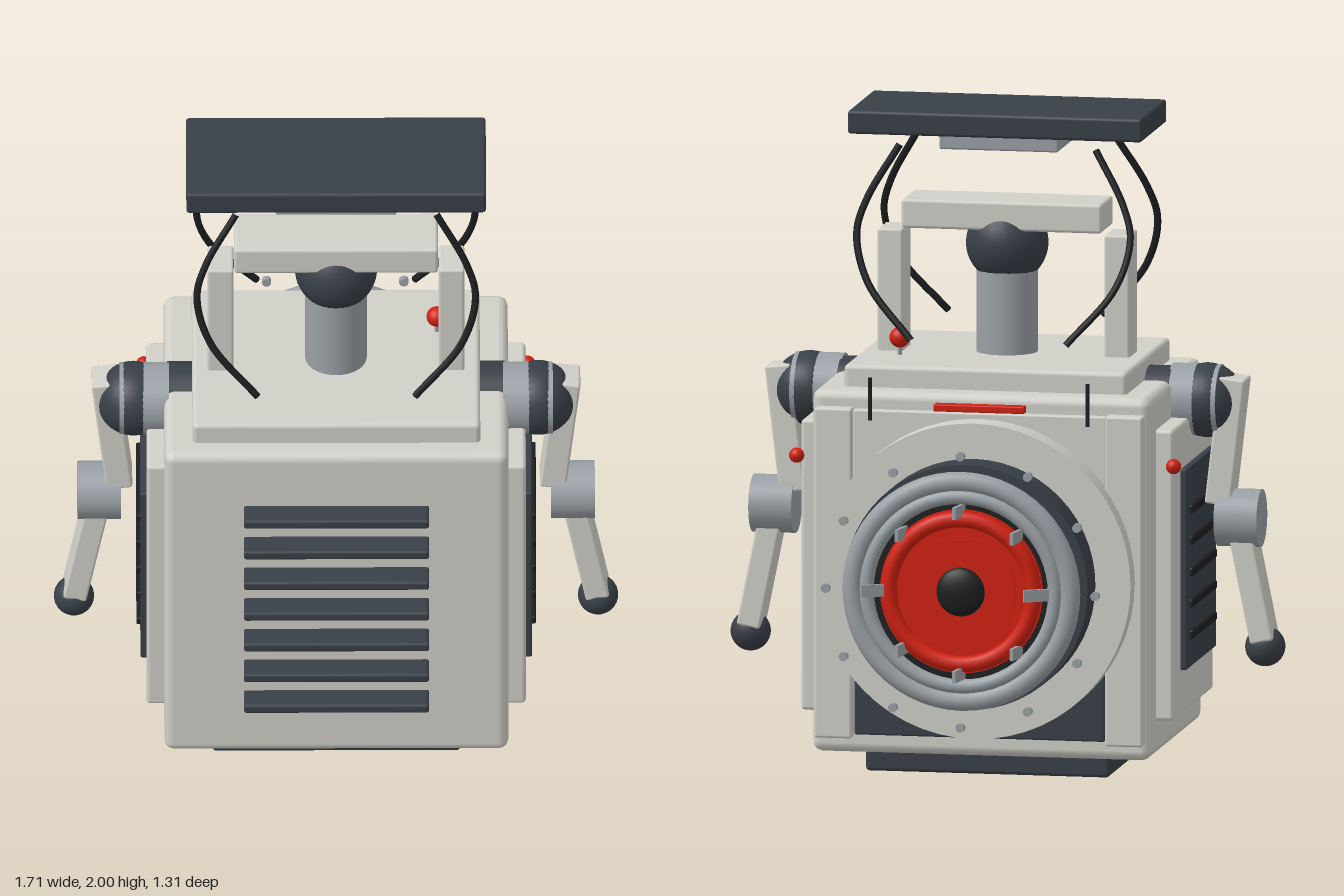
import * as THREE from 'three';
import { RoundedBoxGeometry } from 'three/addons/geometries/RoundedBoxGeometry.js';

const mat = (name, color) => {
  const m = new THREE.MeshStandardMaterial({ color });
  m.name = name;
  return m;
};

export function createModel() {
  const shell = mat('shell light grey', 0xd0cfc8);
  const dark = mat('dark slate', 0x383f47);
  const steel = mat('steel grey', 0x99a0a5);
  const black = mat('black rubber', 0x1c1e20);
  const red = mat('signal red', 0xd02010);

  const root = new THREE.Group();
  root.name = 'boxRobot';

  const add = (name, geo, material, x, y, z, parent = root) => {
    const m = new THREE.Mesh(geo, material);
    m.name = name;
    m.position.set(x, y, z);
    parent.add(m);
    return m;
  };
  // Rounded box given by its min and max on each axis
  const box = (name, material, [x0, x1], [y0, y1], [z0, z1], r = 0.008, parent = root) =>
    add(name, new RoundedBoxGeometry(x1 - x0, y1 - y0, z1 - z0, 2, r), material,
      (x0 + x1) / 2, (y0 + y1) / 2, (z0 + z1) / 2, parent);
  const ball = (name, material, r, x, y, z) =>
    add(name, new THREE.SphereGeometry(r, 28, 20), material, x, y, z);
  const cylX = (name, material, r, x0, x1, y, z) => {
    const m = add(name, new THREE.CylinderGeometry(r, r, Math.abs(x1 - x0), 32), material, (x0 + x1) / 2, y, z);
    m.rotation.z = Math.PI / 2;
    return m;
  };

  // Body, foot plate and top plate
  box('body', shell, [-0.52, 0.52], [0.07, 1.18], [-0.262, 0.575], 0.03);
  box('footPlate', dark, [-0.375, 0.375], [0, 0.09], [-0.16, 0.477], 0.012);
  box('topPlate', shell, [-0.435, 0.435], [1.16, 1.247], [-0.192, 0.508], 0.015);

  // Front louvers
  for (let i = 0; i < 7; i++) {
    const y = 0.288 + i * 0.115;
    box('frontLouver', dark, [-0.28, 0.28], [y - 0.015, y + 0.015], [0.55, 0.655], 0.008);
  }

  // Neck, head joint, carrying handle
  add('neck', new THREE.CylinderGeometry(0.093, 0.093, 0.34, 32), steel, 0, 1.41, 0.16);
  ball('neckJoint', dark, 0.125, 0, 1.58, 0.16);
  box('handleBar', shell, [-0.308, 0.308], [1.628, 1.717], [0.063, 0.256], 0.01);

  // Canopy and its underside block
  box('canopy', dark, [-0.453, 0.453], [1.928, 2], [-0.042, 0.358], 0.01);
  box('canopyBlock', steel, [-0.183, 0.183], [1.88, 1.935], [0.02, 0.3], 0.006);

  // Beacon on a stem
  add('beaconStem', new THREE.CylinderGeometry(0.007, 0.007, 0.06, 10), steel, 0.305, 1.265, 0.026);
  ball('beacon', red, 0.031, 0.305, 1.3, 0.026);

  for (const s of [1, -1]) {
    const span = (a, b) => (s > 0 ? [a, b] : [-b, -a]);
    box('handlePost', shell, span(0.31, 0.388), [1.23, 1.62], [0.095, 0.228], 0.008);

    // Side panel with slatted vent
    box('sidePanel', shell, span(0.5, 0.573), [0.18, 1.07], [-0.162, 0.48], 0.012);
    box('sideVent', dark, span(0.55, 0.592), [0.318, 0.933], [-0.042, 0.43], 0.006);
    for (let i = 0; i < 5; i++) {
      const y = 0.42 + i * 0.096;
      box('ventSlat', black, span(0.58, 0.604), [y - 0.013, y + 0.013], [0.005, 0.382], 0.006);
    }
    ball('sideLamp', red, 0.023, s * 0.58, 0.965, -0.192);

    // Shoulder
    cylX('shoulderAxle', dark, 0.1, s * 0.42, s * 0.51, 1.115, 0.168);
    cylX('shoulder', steel, 0.109, s * 0.505, s * 0.655, 1.112, 0.184);
    ball('shoulderBall', dark, 0.113, s * 0.612, 1.112, 0.184);

    // Arm
    const upper = add('upperArm', new RoundedBoxGeometry(0.08, 0.39, 0.112, 2, 0.008), shell, s * 0.677, 0.995, 0.17);
    upper.rotation.z = -s * 0.115;
    cylX('elbow', steel, 0.088, s * 0.65, s * 0.782, 0.757, 0.168);
    const lower = add('lowerArm', new RoundedBoxGeometry(0.072, 0.39, 0.112, 2, 0.008), shell, s * 0.752, 0.575, 0.17);
    lower.rotation.z = s * 0.2;
    ball('hand', dark, 0.061, s * 0.792, 0.365, 0.172);

    // Canopy cables
    for (const [zTop, zEnd] of [[0.31, 0.457], [0.01, -0.14]]) {
      const pts = [[0.302, 1.893], [0.395, 1.73], [0.421, 1.63], [0.38, 1.485], [0.238, 1.317]].map(([x, y]) =>
        new THREE.Vector3(s * x, y, THREE.MathUtils.lerp(zTop, zEnd, (1.893 - y) / 0.576)));
      add('cable', new THREE.TubeGeometry(new THREE.CatmullRomCurve3(pts), 40, 0.011, 8), black, 0, 0, 0);
    }

    // Rear rails and aerials
    box('rearRail', shell, span(0.39, 0.505), [0.12, 1.13], [-0.306, -0.24], 0.008);
    add('rearAerial', new THREE.CylinderGeometry(0.006, 0.006, 0.13, 8), black, s * 0.335, 1.16, -0.292);
  }

  // Rear panels and light strip
  box('rearPanelUpper', shell, [-0.39, 0.39], [0.6, 1.125], [-0.285, -0.25], 0.006);
  box('rearPanelLower', dark, [-0.385, 0.385], [0.13, 0.6], [-0.285, -0.25], 0.006);
  box('rearLightStrip', red, [-0.14, 0.14], [1.128, 1.15], [-0.296, -0.255], 0.004);

  // Rear thruster, built facing +z and turned to the back
  const thruster = new THREE.Group();
  thruster.name = 'thruster';
  thruster.position.set(0, 0.625, 0);
  thruster.rotation.y = Math.PI;
  root.add(thruster);
  const disc = (name, material, r, z0, z1) => {
    const m = add(name, new THREE.CylinderGeometry(r, r, z1 - z0, 56), material, 0, 0, (z0 + z1) / 2, thruster);
    m.rotation.x = Math.PI / 2;
  };
  const ring = (name, material, R, r, z) =>
    add(name, new THREE.TorusGeometry(R, r, 14, 56), material, 0, 0, z, thruster);
  disc('mountRing', shell, 0.483, 0.27, 0.375);
  disc('housing', dark, 0.375, 0.37, 0.497);
  disc('throat', black, 0.293, 0.49, 0.56);
  ring('outerRing', steel, 0.335, 0.031, 0.569);
  ring('innerRing', steel, 0.29, 0.022, 0.577);
  disc('glowDisc', red, 0.25, 0.55, 0.575);
  ring('glowRing', red, 0.222, 0.025, 0.575);
  disc('glowCore', red, 0.17, 0.57, 0.582);
  add('hub', new THREE.SphereGeometry(0.075, 24, 16), black, 0, 0, 0.58, thruster).scale.z = 0.4;

  // Vanes, the two on the horizontal axis lean over
  for (let i = 0; i < 8; i++) {
    const a = (i * Math.PI) / 4;
    const vane = add('vane', new THREE.BoxGeometry(0.012, 0.037, 0.11), steel,
      0.25 * Math.cos(a), 0.25 * Math.sin(a), 0.6, thruster);
    vane.rotation.y = i % 4 === 0 ? -1.05 : -0.13;
  }
  // Studs around the rim
  for (let i = 0; i < 12; i++) {
    const a = (i * Math.PI) / 6;
    const stud = add('stud', new THREE.CylinderGeometry(0.014, 0.014, 0.018, 12), steel,
      0.415 * Math.cos(a), 0.415 * Math.sin(a), 0.586, thruster);
    stud.rotation.x = Math.PI / 2;
  }
  return root;
}
